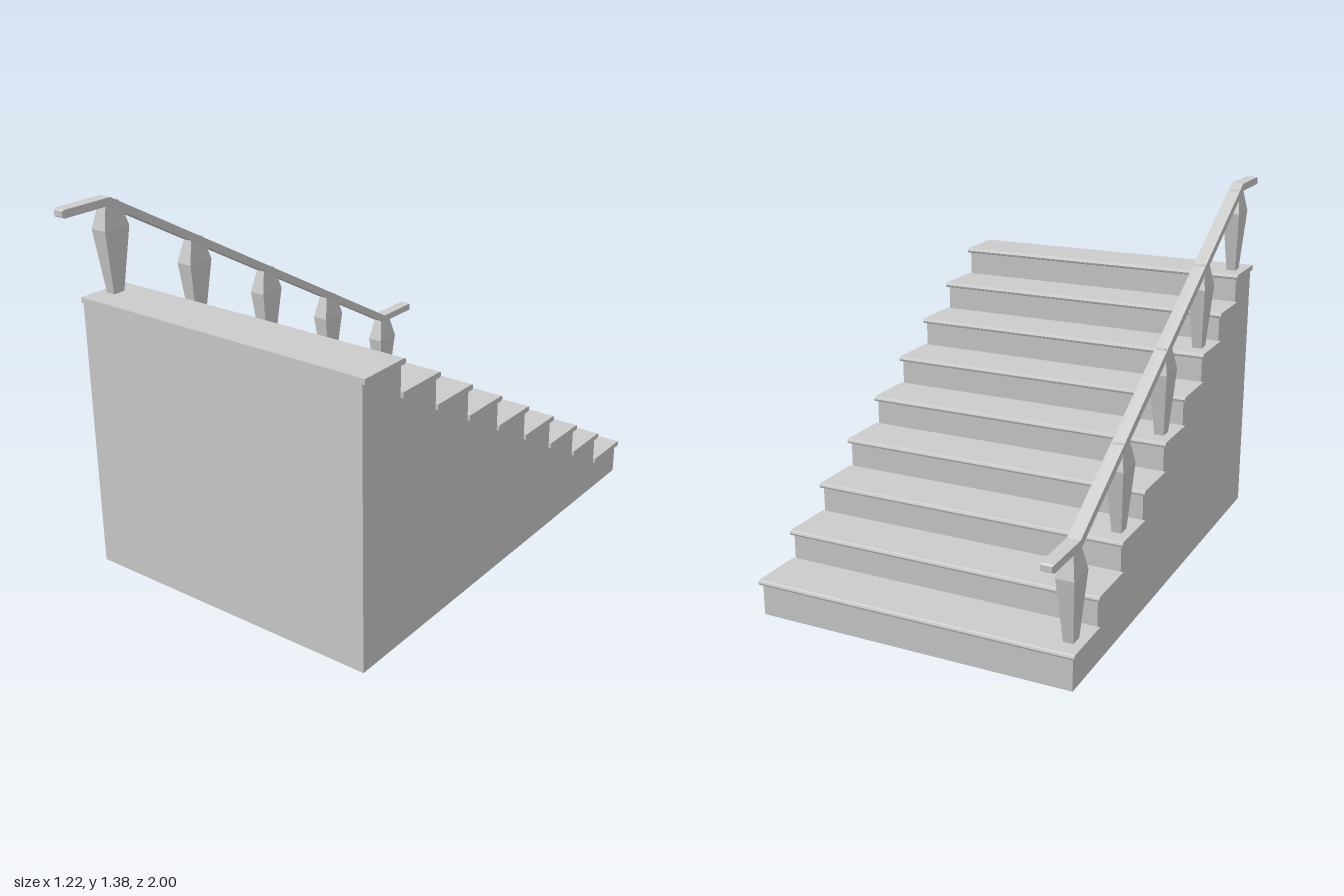
import * as THREE from 'three';

const STEPS = 9, RUN = 1.78 / STEPS, RISE = 0.1126, FIRST = 0.136, BACK = 0.89;
const TREAD = 0.02, RAIL_X = -0.557;
const topOf = (i) => FIRST + i * RISE;       // walking height of step i (0 = lowest)
const riserOf = (i) => -BACK + i * RUN;      // z of the riser of step i

const material = new THREE.MeshStandardMaterial({ color: 0xcccccc, flatShading: true });

function addMesh(parent, geometry, name) {
  const mesh = new THREE.Mesh(geometry, material);
  mesh.name = name;
  parent.add(mesh);
  return mesh;
}

// Extrudes a (z, y) outline along x, centred on x = 0
function extrudeAcross(points, width) {
  const shape = new THREE.Shape(points.map(([z, y]) => new THREE.Vector2(-z, y)));
  const geometry = new THREE.ExtrudeGeometry(shape, { depth: width, bevelEnabled: false });
  return geometry.translate(0, 0, -width / 2).rotateY(Math.PI / 2);
}

// Reshapes a unit box: the rule maps (x, y, z in -1..1) to a new position
function sculptBox(segY, segZ, rule) {
  const geometry = new THREE.BoxGeometry(2, 2, 2, 1, segY, segZ).toNonIndexed();
  const p = geometry.attributes.position;
  for (let i = 0; i < p.count; i++) p.setXYZ(i, ...rule(p.getX(i), p.getY(i), p.getZ(i)));
  geometry.computeVertexNormals();
  return geometry;
}

// Four-sided baluster, widest near the top, standing on y = 0
function balusterGeometry() {
  const sections = [[0, 0.018, 0.024], [0.235, 0.033, 0.056], [0.328, 0.017, 0.03]]; // y, half x, half z
  return sculptBox(2, 1, (x, y, z) => {
    const [h, hx, hz] = sections[Math.round(y + 1)];
    return [x * hx, h, z * hz];
  });
}

// Sloped handrail with level, slightly chamfered ends
function handrailGeometry() {
  const hi = 1.369, lo = 0.469;
  const sections = [ // z, centre y, half x, half y, mitre
    [-1, lo, 0.019, 0.01, 0], [-0.993, lo, 0.024, 0.0145, 0], [-0.792, lo, 0.024, 0.0145, 0.004],
    [0.796, hi, 0.024, 0.0145, 0.004], [0.993, hi, 0.024, 0.0145, 0], [1, hi, 0.019, 0.01, 0],
  ];
  return sculptBox(1, 5, (x, y, z) => {
    const [cz, cy, hx, hy, mitre] = sections[Math.round((z + 1) * 2.5)];
    return [RAIL_X + x * hx, cy + y * hy, cz - y * mitre];
  });
}

export function createModel() {
  const model = new THREE.Group();
  model.name = 'staircase';

  // Solid stepped body
  const outline = [[BACK, 0], [-BACK, 0]];
  for (let i = 0; i < STEPS; i++) {
    const y = topOf(i) - TREAD / 2;
    outline.push([riserOf(i), y], [riserOf(i + 1), y]);
  }
  addMesh(model, extrudeAcross(outline, 1.2), 'stairBody');

  // Treads with a rounded nose overhanging each riser
  const nose = [[RUN, 0]];
  for (let k = 0; k <= 4; k++) {
    const a = (k / 4) * Math.PI;
    nose.push([-0.005 - Math.sin(a) * 0.009, TREAD / 2 * (1 - Math.cos(a))]);
  }
  nose.push([RUN, TREAD]);
  const treadGeometry = extrudeAcross(nose, 1.22);
  const treads = new THREE.Group();
  treads.name = 'treads';
  model.add(treads);
  for (let i = 0; i < STEPS; i++) {
    addMesh(treads, treadGeometry, 'tread').position.set(0, topOf(i) - TREAD, riserOf(i));
  }

  // Balusters on every second step, carrying the handrail
  const railing = new THREE.Group();
  railing.name = 'railing';
  model.add(railing);
  const baluster = balusterGeometry();
  for (let i = 0; i < STEPS; i += 2) {
    addMesh(railing, baluster, 'baluster').position.set(RAIL_X - 0.001, topOf(i), -0.81 + i * 0.1985);
  }
  addMesh(railing, handrailGeometry(), 'handrail');

  return model;
}
